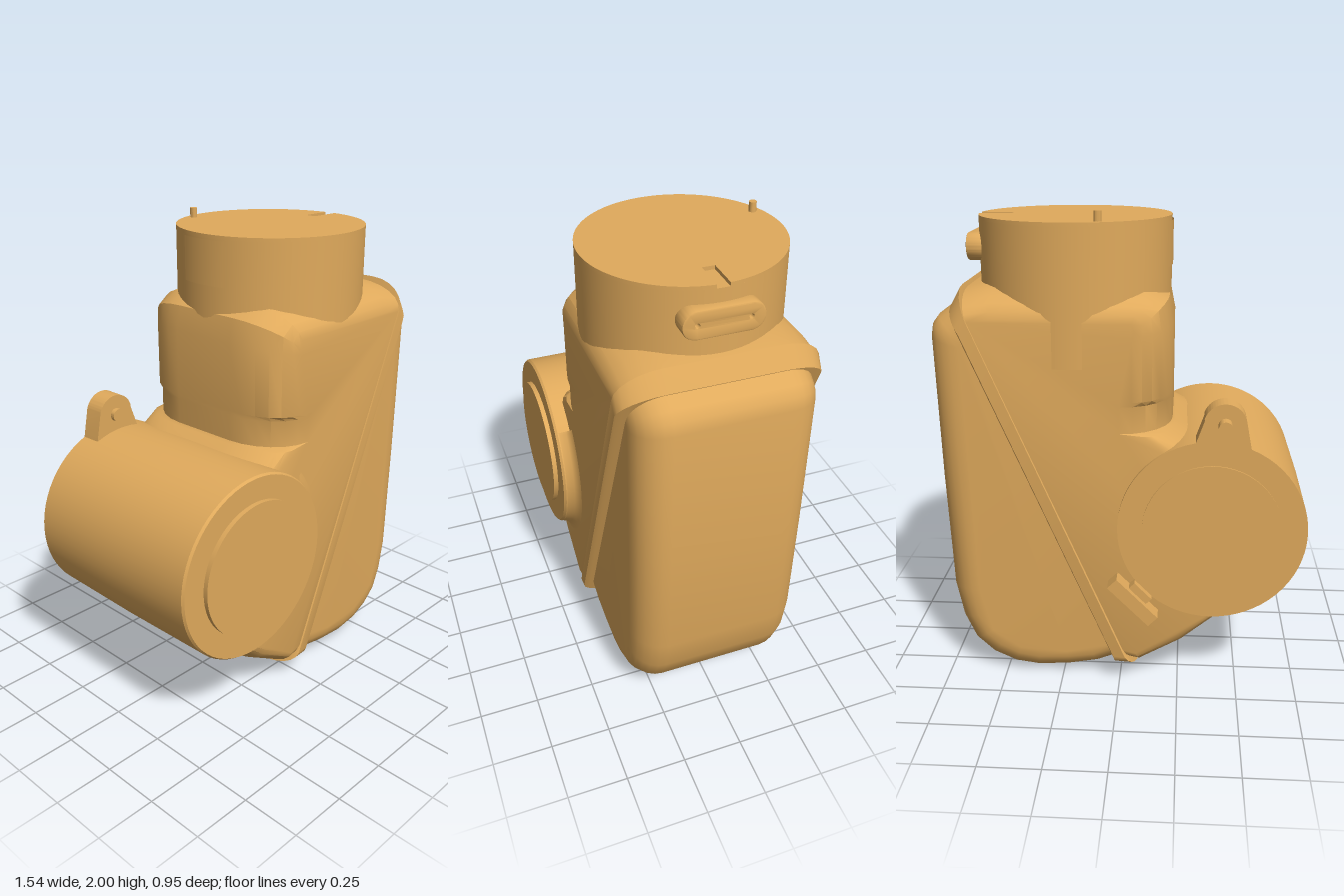
import * as THREE from 'three';
import { toCreasedNormals } from 'three/addons/utils/BufferGeometryUtils.js';

const V2 = (x, y) => new THREE.Vector2(x, y);

export function createModel() {
  const model = new THREE.Group();
  const material = new THREE.MeshStandardMaterial({ color: 0xe0aa5c, side: THREE.DoubleSide });

  function add(name, geometry, x = 0, y = 0, z = 0) {
    const mesh = new THREE.Mesh(toCreasedNormals(geometry, 0.6), material);
    mesh.name = name;
    mesh.position.set(x, y, z);
    model.add(mesh);
    return mesh;
  }

  // Slab with rounded edges. Each outline point is [x, y, dx, dy], where (dx, dy)
  // is how far it moves inwards between depth zi and the outer face at zo.
  function roundedSlab(outline, zi, zo, steps = 6) {
    const half = [];
    for (let i = 0; i <= steps; i++) {
      const a = (i / steps) * Math.PI / 2;
      half.push([zi + (zo - zi) * Math.sin(a), 1 - Math.cos(a)]);
    }
    const layers = [...half.map(([z, t]) => [-z, t]).reverse(), ...half];
    const n = outline.length, last = (layers.length - 1) * n;
    const positions = [], index = [];
    for (const [z, t] of layers)
      for (const [x, y, dx, dy] of outline) positions.push(x + dx * t, y + dy * t, z);
    for (let k = 0; k < layers.length - 1; k++)
      for (let i = 0; i < n; i++) {
        const j = (i + 1) % n, a = k * n + i, b = k * n + j;
        index.push(a, b, b + n, a, b + n, a + n);
      }
    const face = outline.map(([x, y, dx, dy]) => V2(x + dx, y + dy));
    for (const [a, b, c] of THREE.ShapeUtils.triangulateShape(face, []))
      index.push(last + a, last + b, last + c, a, c, b);
    const g = new THREE.BufferGeometry();
    g.setAttribute('position', new THREE.Float32BufferAttribute(positions, 3));
    g.setIndex(index);
    return g;
  }

  // Main housing, with a finger notch in its left edge
  add('housing', roundedSlab([
    [0.64, 1.68, -0.05, -0.10], [0.5, 1.71, 0, -0.12], [-0.1, 1.70, 0.05, -0.12],
    [-0.19, 1.65, 0.13, -0.10], [-0.21, 1.55, 0.16, -0.03], [-0.21, 1.27, 0.16, 0],
    [-0.21, 1.25, 0.21, 0], [-0.21, 1.14, 0.21, 0], [-0.22, 1.13, 0.12, 0],
    [-0.30, 1.10, 0.10, -0.05], [-0.45, 0.90, 0, 0], [-0.48, 0.37, 0, 0.05],
    [-0.28, 0.17, 0.04, 0.08], [-0.10, 0.07, 0.03, 0.08], [-0.03, 0.08, 0.04, 0.09],
  ], 0.15, 0.395), 0, 0, -0.01);

  // Slanted cover on the right
  add('cover', roundedSlab([
    [0.0, 0.08, 0.04, 0.09], [0.1, 0.04, 0.02, 0.10], [0.22, 0.017, 0.01, 0.11],
    [0.36, 0.005, -0.01, 0.12], [0.47, 0.02, -0.04, 0.12], [0.57, 0.065, -0.07, 0.11],
    [0.65, 0.14, -0.10, 0.08], [0.70, 0.25, -0.12, 0.05], [0.73, 0.40, -0.13, 0.02],
    [0.75, 0.9, -0.13, 0], [0.765, 1.50, -0.13, -0.03], [0.757, 1.55, -0.13, -0.06],
    [0.73, 1.585, -0.11, -0.09], [0.65, 1.635, -0.05, -0.11],
  ], 0.23, 0.36), 0, 0, -0.01);

  // Raised seam between housing and cover
  add('seamFlange', roundedSlab([
    [-0.08, 0.06, 0.055, 0.07], [0.01, 0.065, 0.015, 0.07],
    [0.68, 1.62, -0.06, -0.09], [0.635, 1.70, -0.045, -0.12],
  ], 0.22, 0.4), 0, 0, -0.01);

  // Round neck; its top slab has a small key slot
  add('neck', new THREE.CylinderGeometry(0.395, 0.395, 0.545, 64), 0.2, 1.6725, -0.015);
  const slot = Math.asin(0.025 / 0.395);
  const rim = new THREE.Shape();
  rim.absarc(0, 0, 0.395, slot, Math.PI * 2 - slot, false);
  rim.lineTo(0.26, -0.025);
  rim.lineTo(0.26, 0.025);
  add('neckTop', new THREE.ExtrudeGeometry(rim, { depth: 0.015, bevelEnabled: false, curveSegments: 64 })
    .rotateX(-Math.PI / 2), 0.2, 1.945, -0.015);
  add('neckPin', new THREE.CylinderGeometry(0.015, 0.015, 0.06, 16), 0.08, 1.97, -0.355);
  add('neckPlate', new THREE.CylinderGeometry(0.4, 0.4, 0.18, 12, 1, true, -Math.PI / 2 - 0.3, 0.6),
    0.2, 1.85, -0.015);

  // Oblong pad with two screw holes on the neck
  const pad = new THREE.Shape();
  pad.absarc(0.1, 0, 0.05, -Math.PI / 2, Math.PI / 2, false);
  pad.absarc(-0.1, 0, 0.05, Math.PI / 2, Math.PI * 1.5, false);
  for (const s of [-1, 1]) {
    const hole = new THREE.Path();
    hole.absarc(s * 0.1, 0, 0.014, 0, Math.PI * 2, true);
    pad.holes.push(hole);
  }
  add('screwPad', new THREE.ExtrudeGeometry(pad, {
    depth: 0.075, bevelThickness: 0.006, bevelSize: 0.006, bevelSegments: 2, curveSegments: 16,
  }).rotateY(Math.PI / 2), 0.549, 1.835, -0.01);

  // Side barrel with end discs, lying along z
  const bx = -0.38, by = 0.735;
  const turned = (points, start = 0, sweep = Math.PI * 2) => new THREE.LatheGeometry(
    points.map(([r, z]) => V2(r, z)), 64, start, sweep).rotateX(Math.PI / 2);
  add('barrel', turned([[0, -0.42], [0.386, -0.42], [0.392, 0], [0.39, 0.44], [0.383, 0.45], [0, 0.45]]), bx, by);
  add('barrelDiscs', turned([[0, -0.426], [0.285, -0.426], [0.285, 0.47], [0, 0.47]]), bx, by);
  add('barrelFillet', turned([[0.46, 0.382], [0.425, 0.388], [0.402, 0.405], [0.39, 0.435]],
    Math.PI * 0.14, Math.PI * 0.58), bx, by);

  // Hinge lug and its pin
  const lug = new THREE.Shape();
  lug.moveTo(-0.11, -0.12);
  lug.lineTo(0.13, -0.12);
  lug.quadraticCurveTo(0.1, -0.04, 0.08, 0.02);
  lug.absarc(0, 0, 0.085, 0.25, Math.PI - 0.25, false);
  lug.lineTo(-0.11, -0.12);
  add('hingeLug', new THREE.ExtrudeGeometry(lug, { depth: 0.09, bevelEnabled: false, curveSegments: 20 }),
    -0.42, 1.19, -0.42);
  add('hingePin', new THREE.CylinderGeometry(0.028, 0.028, 0.16, 20).rotateX(Math.PI / 2), -0.42, 1.19, -0.39);

  // Latch on the back, tangent to the barrel
  add('latchBar', new THREE.BoxGeometry(0.24, 0.055, 0.085).rotateZ(Math.PI / 4), -0.06, 0.43, -0.433);
  add('latchTab', new THREE.BoxGeometry(0.1, 0.05, 0.05).rotateZ(Math.PI / 4), -0.085, 0.455, -0.425);

  return model;
}
